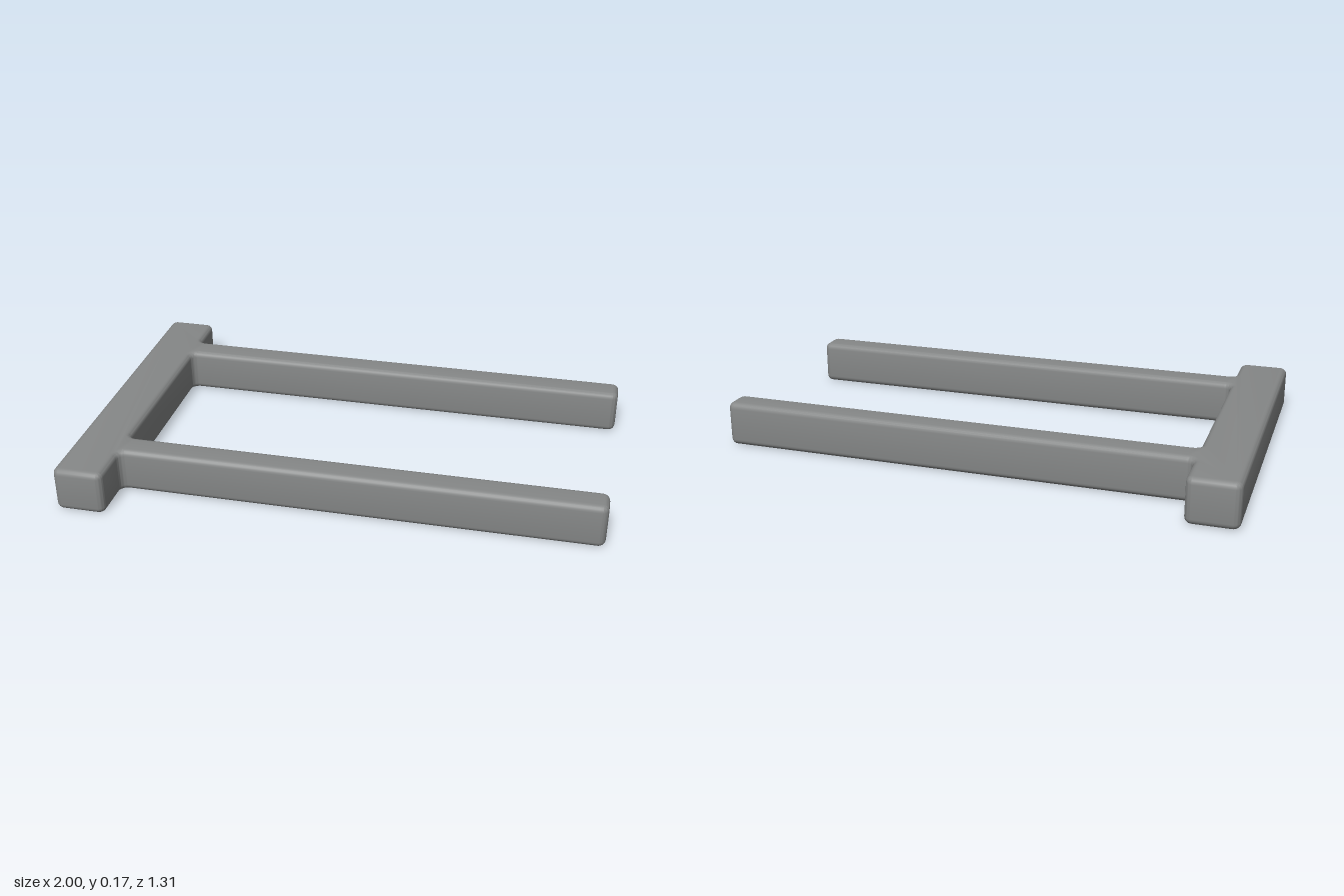
import * as THREE from 'three';
import { toCreasedNormals } from 'three/addons/utils/BufferGeometryUtils.js';

// Closed outline of right-angled corners (counter-clockwise), each rounded by a true arc
function roundedOutline(points, radius) {
  const shape = new THREE.Shape();
  const corners = points.map(([x, y]) => new THREE.Vector2(x, y));
  const n = corners.length;
  corners.forEach((p, i) => {
    const toPrev = corners[(i + n - 1) % n].clone().sub(p).normalize();
    const toNext = corners[(i + 1) % n].clone().sub(p).normalize();
    const c = p.clone().addScaledVector(toPrev, radius).addScaledVector(toNext, radius);
    const concave = toPrev.cross(toNext) > 0;
    const start = Math.atan2(-toNext.y, -toNext.x);
    const end = Math.atan2(-toPrev.y, -toPrev.x);
    shape.absarc(c.x, c.y, radius, start, end, concave);
  });
  shape.closePath();
  return shape;
}

export function createModel() {
  const group = new THREE.Group();
  group.name = 'twoProngedFork';

  const grey = new THREE.MeshStandardMaterial({ color: 0x868888 });
  grey.name = 'grey';

  const height = 0.17, bevel = 0.023;
  const barX = -0.81, barZ = 0.655, armIn = 0.362, armOut = 0.474;

  // One half of the inner side: bar end, outer arm edge, arm tip, inner arm edge
  const half = [[-1, barZ], [barX, barZ], [barX, armOut], [1, armOut], [1, armIn], [barX, armIn]];
  const mirrored = half.map(([x, z]) => [x, -z]);
  const outline = [...mirrored, ...half.reverse()];

  // Crossbar and both arms are one solid with rounded edges
  const geometry = new THREE.ExtrudeGeometry(roundedOutline(outline, 0.028), {
    depth: height - 2 * bevel,
    bevelEnabled: true,
    bevelThickness: bevel,
    bevelSize: bevel,
    bevelOffset: -bevel,
    bevelSegments: 5,
    curveSegments: 8,
  });
  geometry.rotateX(-Math.PI / 2);
  geometry.translate(0, bevel, 0);

  const body = new THREE.Mesh(toCreasedNormals(geometry, 0.6), grey);
  body.name = 'crossbarWithArms';
  group.add(body);
  return group;
}
